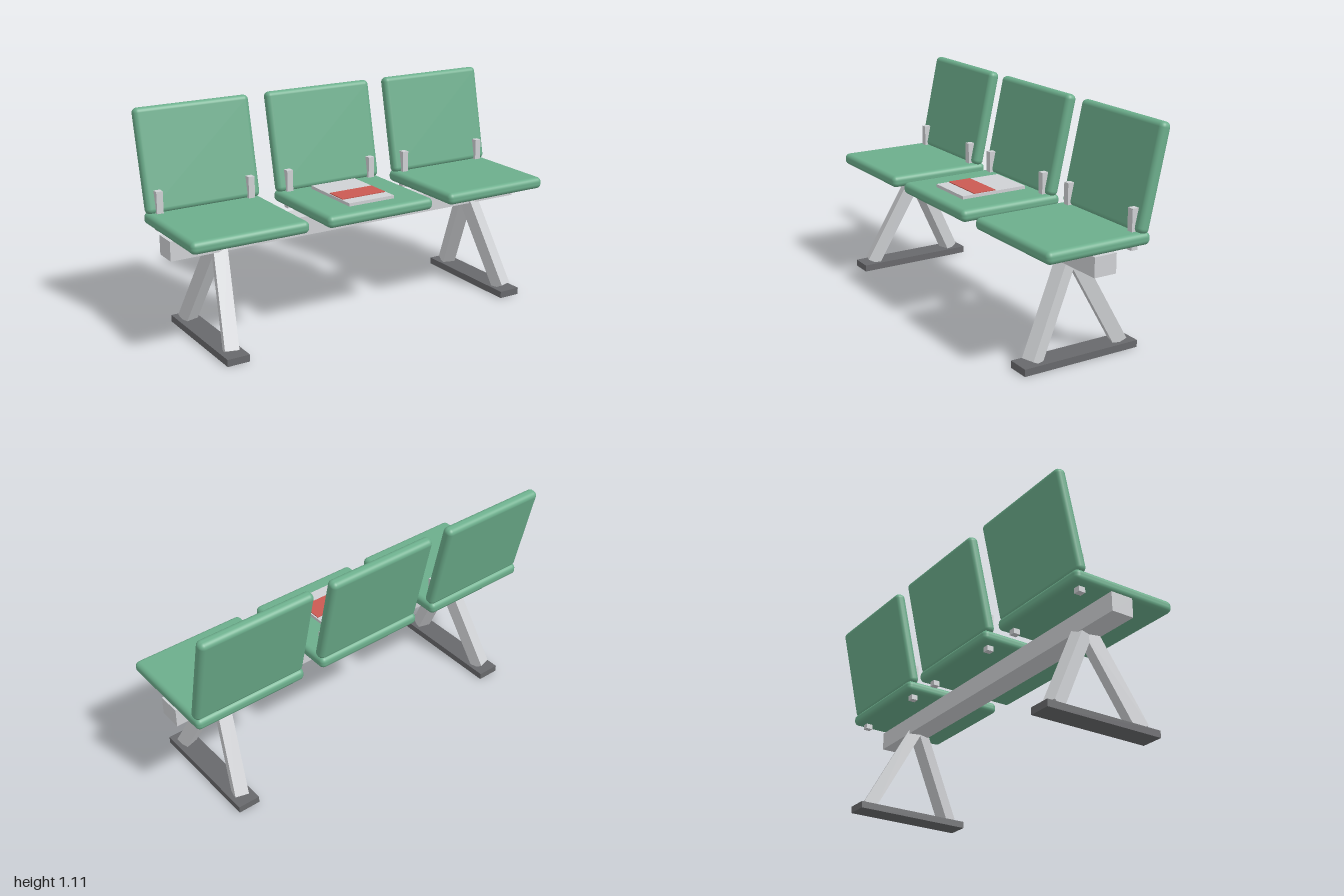
import * as THREE from 'three';
import { RoundedBoxGeometry } from 'three/addons/geometries/RoundedBoxGeometry.js';

function material(name, color) {
  const m = new THREE.MeshStandardMaterial({ color });
  m.name = name;
  return m;
}

export function createModel() {
  const model = new THREE.Group();
  model.name = 'benchSeating';
  const green = material('greenUpholstery', 0x6cae8c);
  const grey = material('lightGreyMetal', 0xcfd1d4);
  const dark = material('darkGreyFoot', 0x68696c);
  const red = material('redLabel', 0xca5a52);

  const add = (parent, name, geometry, mat, x, y, z) => {
    const mesh = new THREE.Mesh(geometry, mat);
    mesh.name = name;
    mesh.position.set(x, y, z);
    parent.add(mesh);
    return mesh;
  };
  const box = (w, h, d) => new THREE.BoxGeometry(w, h, d);

  // Long beam carrying the seats
  const midZ = 0.015;
  add(model, 'beam', box(2, 0.096, 0.118), grey, 0, 0.508, midZ);

  // Three seats, each with a leaning back and two brackets
  const cushion = new RoundedBoxGeometry(0.6, 0.06, 0.555, 4, 0.025);
  const backrest = new RoundedBoxGeometry(0.6, 0.506, 0.058, 4, 0.025);
  const bracket = box(0.033, 0.195, 0.035);
  for (const x of [-0.7, 0, 0.7]) {
    const seat = new THREE.Group();
    seat.name = 'seat';
    seat.position.x = x;
    model.add(seat);
    add(seat, 'cushion', cushion, green, 0, 0.587, 0.04);
    add(seat, 'backrest', backrest, green, 0, 0.857, -0.25).rotation.x = -0.215;
    for (const s of [-1, 1]) add(seat, 'backBracket', bracket, grey, s * 0.242, 0.628, -0.175);
  }

  // Splayed A-shaped legs on a flat foot at each end
  const foot = box(0.115, 0.035, 0.627);
  for (const s of [-1, 1]) {
    const stand = new THREE.Group();
    stand.name = 'legStand';
    model.add(stand);
    add(stand, 'foot', foot, dark, s * 0.796, 0.0175, 0.0165);
    for (const f of [-1, 1]) {
      const bottom = new THREE.Vector3(s * 0.798, 0.036, midZ + f * 0.241);
      const top = new THREE.Vector3(s * 0.73, 0.507, midZ);
      const c = bottom.clone().lerp(top, 0.5);
      const leg = add(stand, f > 0 ? 'frontLeg' : 'rearLeg',
        box(0.068, 0.068, bottom.distanceTo(top)), grey, c.x, c.y, c.z);
      leg.lookAt(top);
    }
  }

  // Flat booklet with a red panel on the middle seat
  add(model, 'booklet', box(0.258, 0.018, 0.36), grey, 0, 0.624, 0.037);
  add(model, 'bookletPanel', box(0.247, 0.005, 0.122), red, -0.001, 0.6345, 0.088);

  return model;
}
